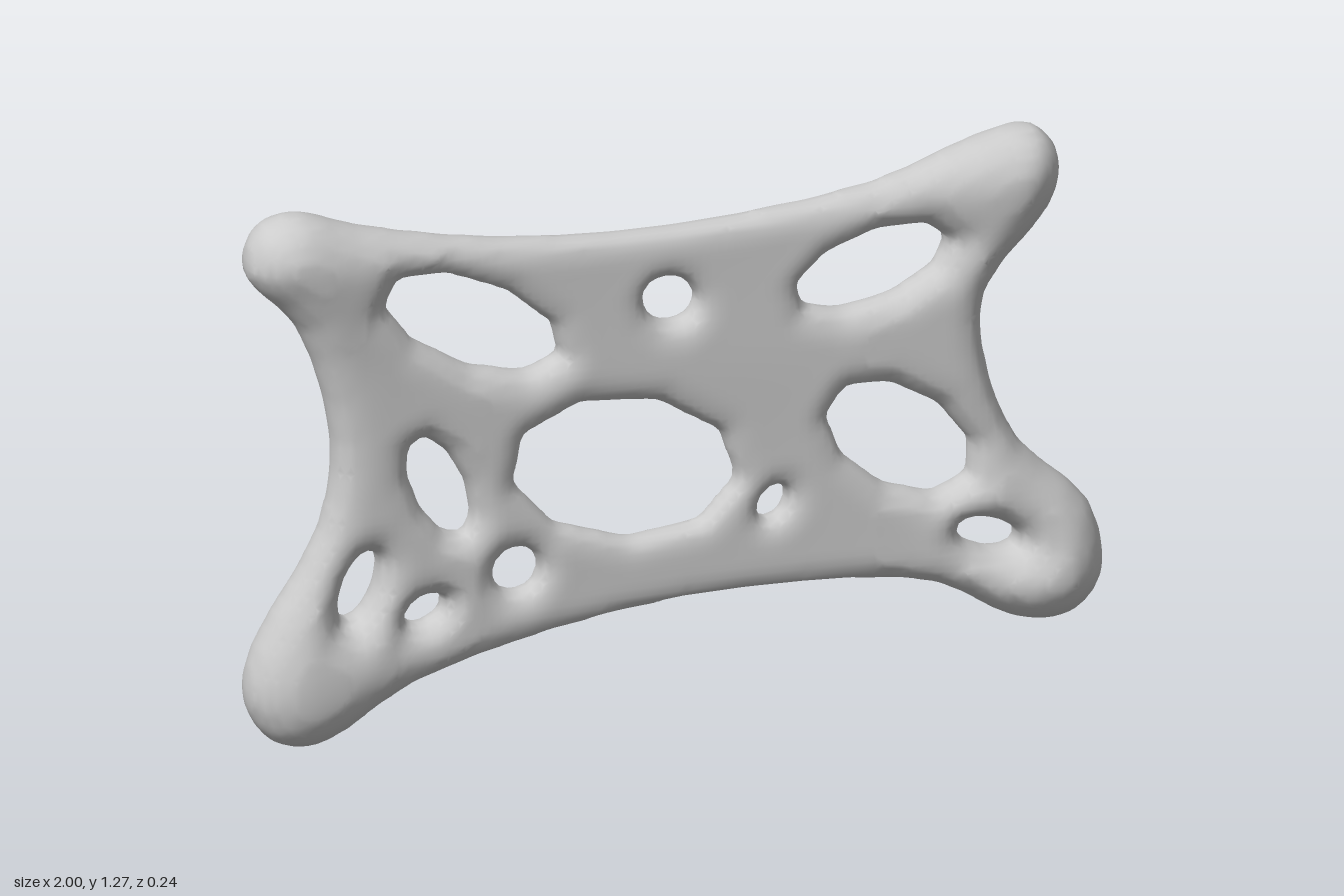
import * as THREE from 'three';

// Front outline of the plate: a closed smooth curve through a few points
const outlinePoints = [
  [-1, 1.14], [-0.97, 1.24], [-0.88, 1.27], [-0.74, 1.225], [-0.4, 1.157], [0, 1.137], [0.47, 1.18], [0.72, 1.255],
  [0.85, 1.27], [0.905, 1.2], [0.885, 1.09], [0.73, 0.9], [0.735, 0.72], [0.81, 0.53], [0.97, 0.37], [1, 0.2],
  [0.925, 0.11], [0.8, 0.11], [0.61, 0.215], [0.3, 0.25], [-0.12, 0.235], [-0.61, 0.125], [-0.83, 0.003],
  [-0.94, 0.02], [-1, 0.12], [-0.98, 0.24], [-0.83, 0.51], [-0.8, 0.72], [-0.88, 1],
];

// Faceted oval openings: centre x, y, half length, half width, tilt in degrees
const openings = [
  [-0.47, 0.965, 0.23, 0.097, -27], [-0.01, 0.965, 0.065, 0.055, -30], [0.465, 0.985, 0.185, 0.085, 15],
  [-0.115, 0.575, 0.27, 0.165, -12], [0.53, 0.57, 0.195, 0.11, -35], [-0.55, 0.585, 0.135, 0.058, -65],
  [-0.74, 0.37, 0.09, 0.04, 70], [-0.585, 0.297, 0.05, 0.032, 25], [-0.37, 0.365, 0.055, 0.055, 0],
  [0.23, 0.453, 0.044, 0.03, 55], [0.733, 0.32, 0.077, 0.036, -18],
];

// Swollen corner knobs: x, y, centre z
const knobs = [[-0.9, 1.16, -0.01], [0.82, 1.17, -0.01], [-0.87, 0.15, -0.01], [0.89, 0.23, 0.01]];

function openingLoop([cx, cy, rx, ry, tilt], sides = 9) {
  const center = new THREE.Vector2(cx, cy);
  return Array.from({ length: sides }, (_, i) => {
    const a = (i / sides) * Math.PI * 2;
    return new THREE.Vector2(cx + rx * Math.cos(a), cy + ry * Math.sin(a))
      .rotateAround(center, THREE.MathUtils.degToRad(tilt));
  });
}

const outlineCurve = new THREE.CatmullRomCurve3(outlinePoints.map(([x, y]) => new THREE.Vector3(x, y, 0)), true);
const loops = [outlineCurve.getPoints(87).slice(0, -1), ...openings.map((o) => openingLoop(o))];

// Distance inside the pierced outline (negative outside)
function depthAt(x, y) {
  let inside = false, best = Infinity;
  for (const loop of loops) {
    let a = loop[loop.length - 1];
    for (const b of loop) {
      const dx = b.x - a.x, dy = b.y - a.y;
      if (a.y > y !== b.y > y && x < a.x + (dx * (y - a.y)) / dy) inside = !inside;
      const s = THREE.MathUtils.clamp(((x - a.x) * dx + (y - a.y) * dy) / (dx * dx + dy * dy), 0, 1);
      best = Math.min(best, Math.hypot(x - a.x - s * dx, y - a.y - s * dy));
      a = b;
    }
  }
  return inside ? best : -best;
}

// Half thickness, centre plane and rounded-edge value of one column
function columnAt(x, y) {
  const ridge = Math.exp(-(((y - 0.8) / 0.13) ** 2) - (x / 0.5) ** 2);
  let t = 0.045 + 0.022 * Math.min(1, (x / 0.7) ** 2) + 0.015 * ridge;
  let zc = -0.012 * ridge;
  for (const [kx, ky, kz] of knobs) {
    const g = Math.exp(-((x - kx) ** 2 + (y - ky) ** 2) / 0.04);
    t += 0.045 * g;
    zc += kz * g;
  }
  const q = Math.max(0, 1 - depthAt(x, y) / (t * 1.05));
  return { t, zc, q };
}

// Wraps a skin around the region where the field is negative
function skinGeometry() {
  const h = 0.02, n = [106, 70, 17], origin = [-1.05, -0.055, -0.165];
  const stride = [1, n[0], n[0] * n[1]];
  const field = new Float32Array(n[0] * n[1] * n[2]);
  for (let j = 0; j < n[1]; j++) {
    for (let i = 0; i < n[0]; i++) {
      const c = columnAt(origin[0] + i * h, origin[1] + j * h);
      for (let k = 0; k < n[2]; k++) {
        field[i + j * stride[1] + k * stride[2]] = c.q ** 2 + ((origin[2] + k * h - c.zc) / c.t) ** 2 - 1;
      }
    }
  }

  // one vertex in each cell the surface crosses
  const corner = (c) => (c & 1) * stride[0] + ((c >> 1) & 1) * stride[1] + (c >> 2) * stride[2];
  const ids = new Int32Array(field.length), verts = [];
  for (let k = 0; k < n[2] - 1; k++) for (let j = 0; j < n[1] - 1; j++) for (let i = 0; i < n[0] - 1; i++) {
    const base = i + j * stride[1] + k * stride[2], sum = [0, 0, 0];
    let count = 0;
    for (let c = 0; c < 8; c++) for (let a = 0; a < 3; a++) {
      if (c & (1 << a)) continue;
      const f0 = field[base + corner(c)], f1 = field[base + corner(c | (1 << a))];
      if (f0 < 0 === f1 < 0) continue;
      for (let b = 0; b < 3; b++) sum[b] += b === a ? f0 / (f0 - f1) : (c >> b) & 1;
      count++;
    }
    if (!count) continue;
    ids[base] = verts.length;
    verts.push([i, j, k].map((v, a) => origin[a] + h * (v + sum[a] / count)));
  }

  // one quad around each crossed grid edge
  const index = [], near = verts.map(() => new Set());
  for (let k = 1; k < n[2] - 1; k++) for (let j = 1; j < n[1] - 1; j++) for (let i = 1; i < n[0] - 1; i++) {
    const base = i + j * stride[1] + k * stride[2];
    for (let a = 0; a < 3; a++) {
      const inside = field[base] < 0;
      if (inside === field[base + stride[a]] < 0) continue;
      const b = stride[(a + 1) % 3], c = stride[(a + 2) % 3];
      const quad = [base, base - b, base - b - c, base - c].map((v) => ids[v]);
      if (!inside) quad.reverse();
      index.push(quad[0], quad[1], quad[2], quad[0], quad[2], quad[3]);
      quad.forEach((v, s) => {
        near[v].add(quad[(s + 1) % 4]);
        near[quad[(s + 1) % 4]].add(v);
      });
    }
  }

  // relax ridges without shrinking
  let points = verts;
  for (const w of [0.5, -0.52, 0.5, -0.52, 0.5, -0.52]) {
    const old = points;
    points = old.map((p, v) => p.map((value, a) => {
      let mean = 0;
      for (const o of near[v]) mean += old[o][a];
      return value + w * (mean / near[v].size - value);
    }));
  }

  const geometry = new THREE.BufferGeometry();
  geometry.setAttribute('position', new THREE.Float32BufferAttribute(points.flat(), 3));
  geometry.setIndex(index);
  geometry.computeVertexNormals();
  return geometry;
}

export function createModel() {
  const group = new THREE.Group();
  group.name = 'organicBracket';
  const plate = new THREE.Mesh(skinGeometry(), new THREE.MeshStandardMaterial({ color: 0xcccccc }));
  plate.name = 'piercedPlate';
  group.add(plate);
  return group;
}
